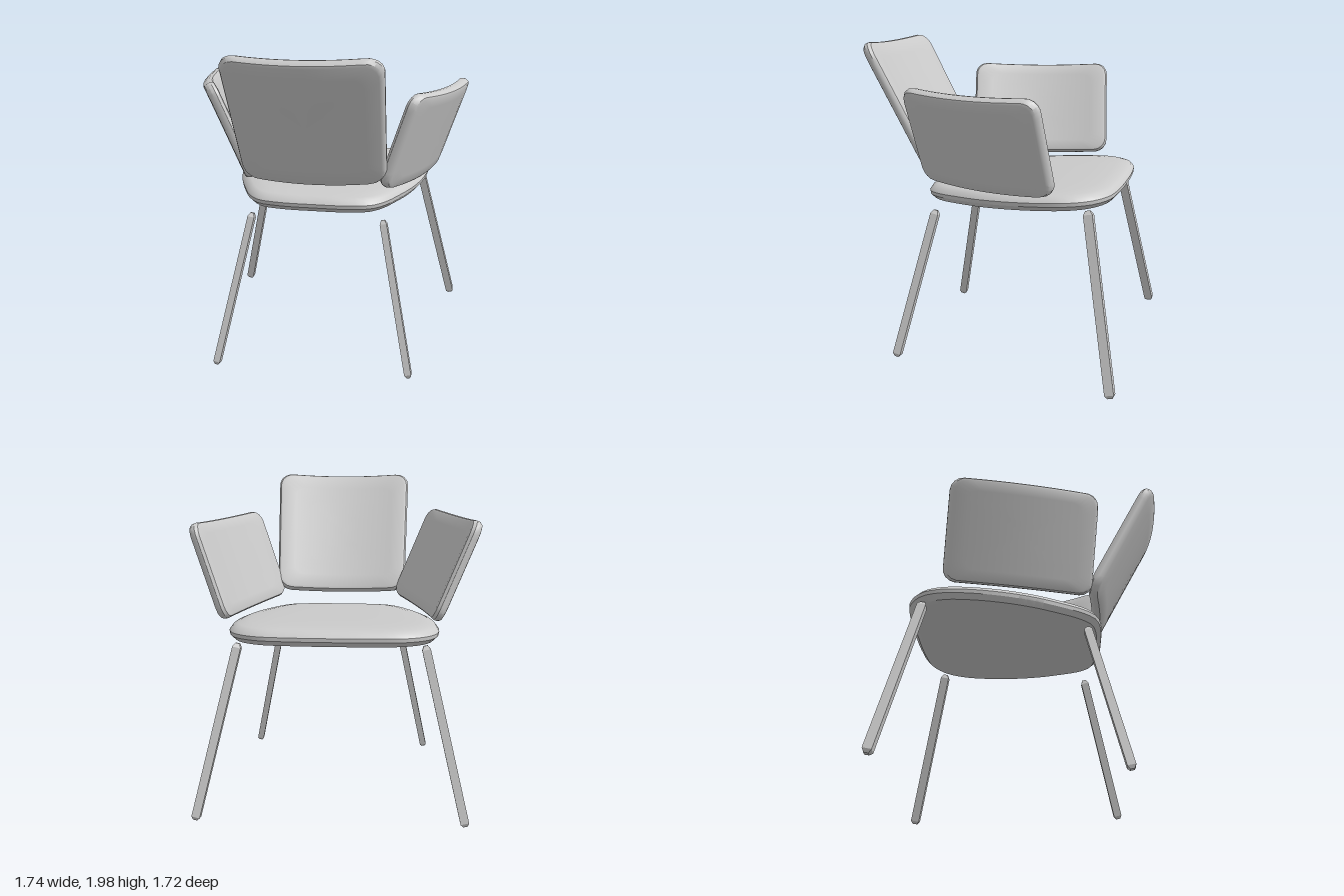
import * as THREE from 'three';
import { toCreasedNormals } from 'three/addons/utils/BufferGeometryUtils.js';

const material = new THREE.MeshStandardMaterial({ color: 0xcccccc });
const deg = THREE.MathUtils.degToRad;

// Cushion slab: a counter-clockwise outline swept through [scale, height] rings, then bent.
function slab(outline, rings, bend) {
  const n = outline.length, positions = [], index = [];
  for (const [k, w] of rings) {
    for (const p of outline) positions.push(...bend(p.x * k, p.y * k, w));
  }
  for (let i = 0; i < rings.length - 1; i++) {
    for (let j = 0; j < n; j++) {
      const a = i * n + j, b = i * n + (j + 1) % n;
      if (rings[i + 1][0] > 0) index.push(a, a + n, b + n);
      if (rings[i][0] > 0) index.push(a, b + n, b);
    }
  }
  const geometry = new THREE.BufferGeometry();
  geometry.setAttribute('position', new THREE.Float32BufferAttribute(positions, 3));
  geometry.setIndex(index);
  return toCreasedNormals(geometry, 0.6);
}

function roundedRect(w, h, r) {
  const x = w / 2, y = h / 2, s = new THREE.Shape();
  s.absarc(x - r, r - y, r, -Math.PI / 2, 0);
  s.absarc(x - r, y - r, r, 0, Math.PI / 2);
  s.absarc(r - x, y - r, r, Math.PI / 2, Math.PI);
  s.absarc(r - x, r - y, r, Math.PI, Math.PI * 1.5);
  s.closePath();
  return s.getSpacedPoints(96).slice(0, -1);
}

// Curved upright panel, turned to face outward by yaw and leaning outward
function panel(name, { width, height, radius, bow, taper, yaw, lean, position }) {
  const t = 0.035;
  const face = [[0, t], [0.25, t], [0.5, t], [0.75, t], [0.94, t], [0.975, t * 0.85], [1, t * 0.3]];
  const rings = [...face, ...face.map(([k, w]) => [k, -w]).reverse()];
  const geometry = slab(roundedRect(width, height, radius), rings, (u, v, w) => [
    u * (1 + taper * v), v, w - bow * (2 * u / width) ** 2,
  ]);
  const mesh = new THREE.Mesh(geometry, material);
  mesh.name = name;
  mesh.rotation.set(deg(lean), deg(yaw), 0, 'YXZ');
  mesh.position.set(...position);
  return mesh;
}

// Seat: wide at the open edge, narrowing towards the backrest
function seat() {
  const half = [[0.2, -0.61], [0.35, -0.575], [0.43, -0.49], [0.49, -0.37], [0.56, -0.2],
    [0.61, 0], [0.63, 0.2], [0.62, 0.36], [0.565, 0.49], [0.44, 0.58], [0.22, 0.61]];
  const points = [[0, -0.615], ...half, [0, 0.615], ...half.map(([x, y]) => [-x, y]).reverse()];
  const curve = new THREE.CatmullRomCurve3(
    points.map(([x, y]) => new THREE.Vector3(x, y, 0)), true);
  const outline = curve.getSpacedPoints(80).slice(0, -1);
  const rings = [[0, 0.062], [0.3, 0.062], [0.6, 0.06], [0.82, 0.055], [0.92, 0.046], [0.97, 0.034],
    [1, 0.008], [0.995, -0.015], [0.95, -0.045], [0.9, -0.05], [0.5, -0.05], [0, -0.05]];
  const mesh = new THREE.Mesh(slab(outline, rings, (u, v, w) => [u, v, w]), material);
  mesh.name = 'seat';
  mesh.rotation.x = -Math.PI / 2 + 0.062;
  mesh.position.set(-0.005, 1.1, -0.15);
  return mesh;
}

// Straight square leg with chamfered ends
function leg(name, top, foot, width, depth) {
  const a = new THREE.Vector3(...foot), b = new THREE.Vector3(...top);
  const length = a.distanceTo(b), r = Math.SQRT1_2;
  const profile = [[0, 0], [r * 0.5, 0], [r, 0.02], [r, length - 0.025], [r * 0.5, length], [0, length]]
    .map(([x, y]) => new THREE.Vector2(x, y));
  const geometry = toCreasedNormals(
    new THREE.LatheGeometry(profile, 4).rotateY(Math.PI / 4).scale(width, 1, depth), 0.2);
  const mesh = new THREE.Mesh(geometry, material);
  mesh.name = name;
  mesh.position.copy(a);
  mesh.quaternion.setFromUnitVectors(new THREE.Vector3(0, 1, 0), b.sub(a).normalize());
  return mesh;
}

export function createModel() {
  const chair = new THREE.Group();
  chair.name = 'armchair';
  chair.add(seat());

  chair.add(panel('backrest', {
    width: 0.9, height: 0.87, radius: 0.09, bow: 0.05, taper: 0.06,
    yaw: 0, lean: 28, position: [-0.005, 1.58, 0.633],
  }));

  // Armrests are set at slightly different angles
  chair.add(panel('rightArmrest', {
    width: 0.93, height: 0.635, radius: 0.08, bow: 0.05, taper: 0,
    yaw: -76, lean: 23, position: [-0.665, 1.465, -0.02],
  }));
  chair.add(panel('leftArmrest', {
    width: 0.93, height: 0.605, radius: 0.08, bow: 0.05, taper: 0,
    yaw: 73.5, lean: 19.5, position: [0.668, 1.447, 0.02],
  }));

  // Legs splay outward; the pair under the backrest is slimmer
  for (const [side, s] of [['left', 1], ['right', -1]]) {
    chair.add(leg(side + 'OpenSideLeg', [s * 0.545, 1.08, -0.63], [s * 0.79, 0.055, -0.835], 0.05, 0.055));
    chair.add(leg(side + 'BackrestLeg', [s * 0.41, 0.965, 0.36],
      [s * 0.61, s > 0 ? 0.035 : 0.01, 0.57], 0.042, 0.05));
  }
  return chair;
}
